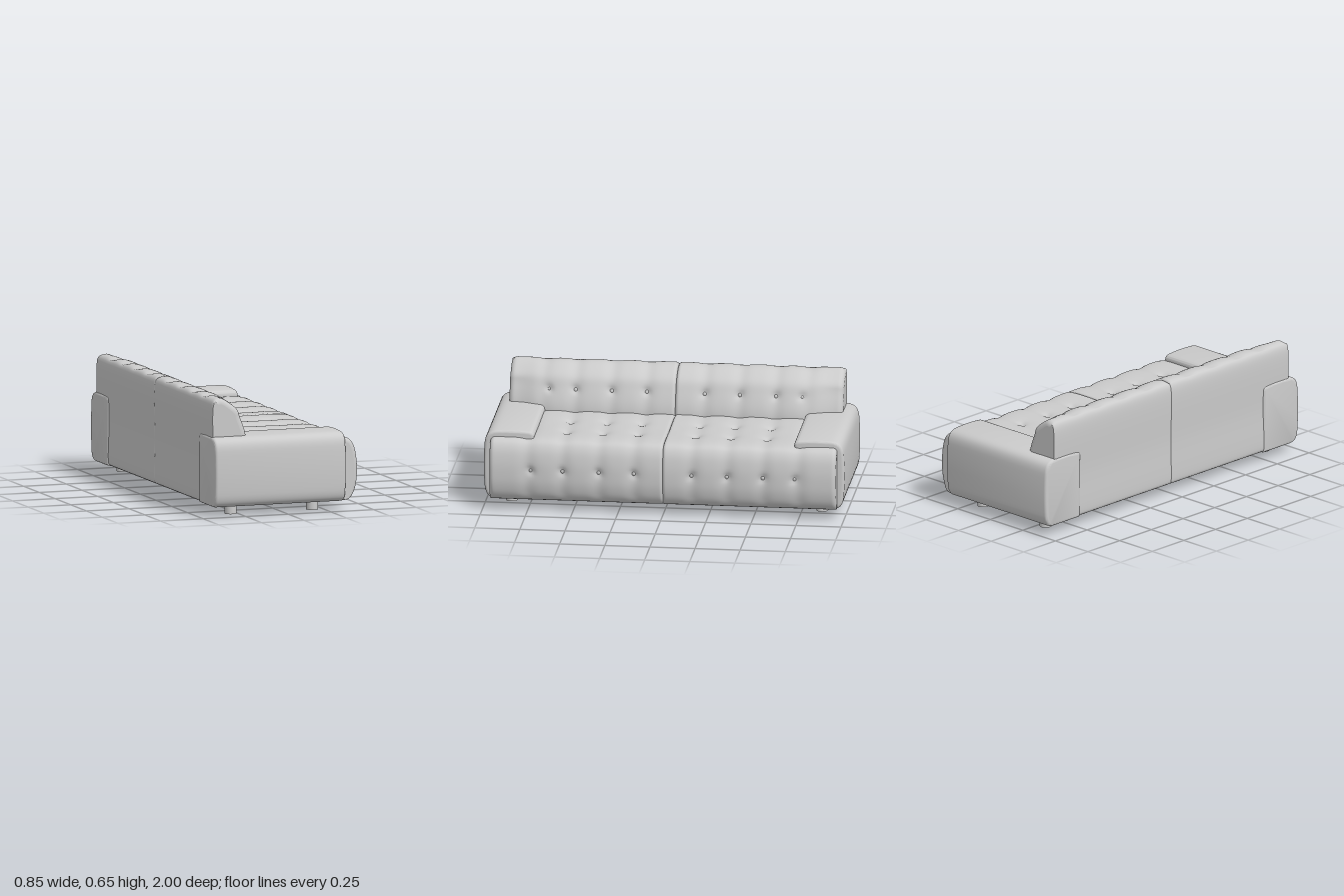
import * as THREE from 'three';
import { toCreasedNormals } from 'three/addons/utils/BufferGeometryUtils.js';

const material = new THREE.MeshStandardMaterial({ color: 0xcccccc, roughness: 0.8 });
const smooth = THREE.MathUtils.smoothstep;

function addMesh(parent, name, geometry) {
  const mesh = new THREE.Mesh(geometry, material);
  mesh.name = name;
  parent.add(mesh);
  return mesh;
}

// Closed x-y outline with outward normals, counter-clockwise
function sampleOutline(points, count) {
  const curve = new THREE.CatmullRomCurve3(
    points.map(([x, y]) => new THREE.Vector3(x, y, 0)), true, 'centripetal');
  return Array.from({ length: count }, (_, j) => {
    const p = curve.getPointAt(j / count);
    const t = curve.getTangentAt(j / count);
    return { x: p.x, y: p.y, nx: t.y, ny: -t.x };
  });
}

// Distance the surface pulls in near a rounded end
const endInset = (d, r) => (d < r ? r - Math.sqrt(Math.max(0, r * r - (r - d) ** 2)) : 0);

// Tufted cushion: an outline lofted along z, pulled in at channels and buttons
function cushionGeometry(side, { outline, length, inner, outer, channels, buttons, taper }) {
  const ring = sampleOutline(outline, 116);
  const n = ring.length;
  const zs = [];
  for (let k = 0; k < 6; k++) zs.push(inner * (1 - Math.cos(k / 6 * Math.PI / 2)));
  for (let k = 0; k <= 76; k++) zs.push(inner + (length - inner - outer) * k / 76);
  for (let k = 5; k >= 0; k--) zs.push(length - outer * (1 - Math.cos(k / 6 * Math.PI / 2)));

  const pos = [];
  const index = [];
  const tri = (a, b, c) => (side > 0 ? index.push(a, b, c) : index.push(a, c, b));
  for (const z of zs) {
    const round = endInset(z, inner) + endInset(length - z, outer);
    let channel = 0;
    for (const c of channels) channel += 0.009 * Math.exp(-(((z - c) / 0.04) ** 2));
    for (const p of ring) {
      // Back and underside stay flat
      const soft = smooth(p.nx, -0.9, -0.2) * smooth(p.ny, -0.9, -0.3);
      let inset = round * (0.15 + 0.85 * soft) + channel * soft;
      inset += taper * smooth(z, 0.7, 0.9) * Math.max(0, p.nx);
      for (const [bx, by, bz] of buttons) {
        const d2 = (p.x - bx) ** 2 + (p.y - by) ** 2 + (z - bz) ** 2;
        inset += soft * (0.014 * Math.exp(-d2 / 0.0004) + 0.005 * Math.exp(-d2 / 0.003));
      }
      pos.push(p.x - p.nx * inset, p.y - p.ny * inset, z * side);
    }
  }
  for (let i = 0; i < zs.length - 1; i++) {
    for (let j = 0; j < n; j++) {
      const a = i * n + j, b = i * n + (j + 1) % n;
      tri(a, b, b + n);
      tri(a, b + n, a + n);
    }
  }
  // End caps with their own vertices, so the rim stays crisp
  for (const row of [0, zs.length - 1]) {
    const base = pos.length / 3;
    let cx = 0, cy = 0;
    for (let j = 0; j < n; j++) {
      const k = (row * n + j) * 3;
      cx += pos[k] / n;
      cy += pos[k + 1] / n;
      pos.push(pos[k], pos[k + 1], pos[k + 2]);
    }
    pos.push(cx, cy, zs[row] * side);
    for (let j = 0; j < n; j++) {
      const a = base + j, b = base + (j + 1) % n;
      if (row) tri(base + n, a, b);
      else tri(base + n, b, a);
    }
  }
  const geometry = new THREE.BufferGeometry();
  geometry.setAttribute('position', new THREE.Float32BufferAttribute(pos, 3));
  geometry.setIndex(index);
  geometry.computeVertexNormals();
  return geometry;
}

// Armrest: rounded z-y section extruded along x
function armGeometry(side) {
  const s = new THREE.Shape();
  const X = (z) => -z * side;
  s.moveTo(X(0.725), 0.051);
  s.lineTo(X(0.94), 0.051);
  s.bezierCurveTo(X(0.975), 0.053, X(0.99), 0.075, X(0.995), 0.12);
  s.quadraticCurveTo(X(1.004), 0.24, X(0.995), 0.365);
  s.bezierCurveTo(X(0.99), 0.41, X(0.975), 0.432, X(0.93), 0.438);
  s.quadraticCurveTo(X(0.84), 0.445, X(0.75), 0.437);
  s.quadraticCurveTo(X(0.721), 0.434, X(0.721), 0.41);
  s.closePath();
  const bevel = 0.016;
  const geometry = new THREE.ExtrudeGeometry(s, {
    depth: 0.765 - 2 * bevel, curveSegments: 10,
    bevelSize: bevel, bevelThickness: bevel, bevelOffset: -bevel, bevelSegments: 4,
  });
  geometry.rotateY(Math.PI / 2);
  geometry.translate(-0.425 + bevel, 0, 0);
  return toCreasedNormals(geometry, 0.6);
}

const rows = [0.16, 0.355, 0.555];
const seatTop = rows.flatMap((z) => [[-0.005, 0.405, z], [0.19, 0.405, z]]);
const seatFront = [...rows, 0.73].map((z) => [0.424, 0.235, z]);
const backFront = [...rows, 0.7].map((z) => [-0.204, 0.527, z]);

const seat = {
  outline: [
    [-0.195, 0.06], [-0.185, 0.055], [0.1, 0.055], [0.33, 0.054], [0.37, 0.06], [0.4, 0.09],
    [0.419, 0.15], [0.424, 0.225], [0.42, 0.29], [0.405, 0.355], [0.38, 0.392], [0.34, 0.405],
    [0.1, 0.408], [-0.185, 0.408], [-0.195, 0.4],
  ],
  length: 0.96, inner: 0.018, outer: 0.025, channels: [...rows, 0.75],
  buttons: [...seatTop, ...seatFront], taper: 0,
};

const back = {
  outline: [
    [-0.416, 0.06], [-0.411, 0.055], [-0.21, 0.055], [-0.2, 0.06], [-0.176, 0.34], [-0.17, 0.4],
    [-0.178, 0.455], [-0.204, 0.53], [-0.232, 0.587], [-0.28, 0.625], [-0.33, 0.647],
    [-0.37, 0.651], [-0.402, 0.643], [-0.416, 0.615], [-0.416, 0.3],
  ],
  length: 0.925, inner: 0.02, outer: 0.032, channels: [...rows, 0.73],
  buttons: backFront, taper: 0.04,
};

export function createModel() {
  const sofa = new THREE.Group();
  sofa.name = 'sofa';

  for (const side of [1, -1]) {
    const half = new THREE.Group();
    half.name = side > 0 ? 'leftHalf' : 'rightHalf';
    sofa.add(half);

    addMesh(half, 'seatCushion', cushionGeometry(side, seat));
    addMesh(half, 'backCushion', cushionGeometry(side, back));
    addMesh(half, 'armrest', armGeometry(side));

    // Buttons sunk into the dents, flattened along the surface normal
    const addButtons = (name, list, nx, ny) => {
      for (const [x, y, z] of list) {
        const button = addMesh(half, name, new THREE.SphereGeometry(0.011, 12, 8));
        button.scale.y = 0.5;
        button.rotation.z = Math.atan2(-nx, ny);
        button.position.set(x - nx * 0.024, y - ny * 0.024, z * side);
      }
    };
    addButtons('seatButton', seatTop, 0, 1);
    addButtons('frontButton', seatFront, 1, 0);
    addButtons('backButton', backFront, 0.93, 0.36);

    // Short round legs under the armrest
    for (const x of [-0.288, 0.19]) {
      const leg = addMesh(half, 'leg', new THREE.CylinderGeometry(0.033, 0.033, 0.056, 28));
      leg.position.set(x, 0.028, 0.86 * side);
    }
  }
  return sofa;
}
